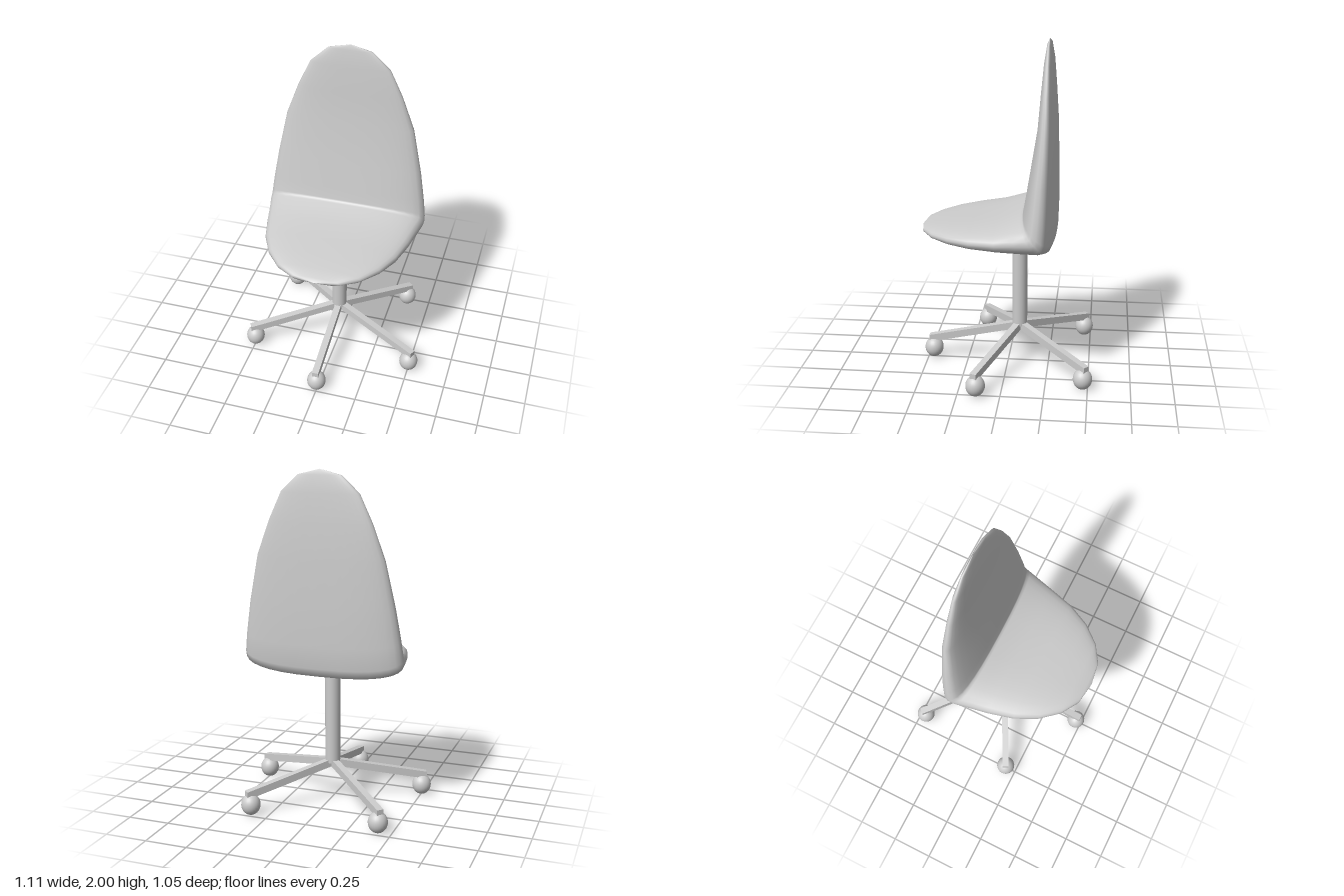
import * as THREE from 'three';

const material = new THREE.MeshStandardMaterial({ color: 0xcccccc });
const HUB = { x: -0.01, z: -0.07 };

function addMesh(parent, name, geometry) {
  const mesh = new THREE.Mesh(geometry, material);
  mesh.name = name;
  parent.add(mesh);
  return mesh;
}

// Stations from seat front to backrest top:
// [inner z, inner y, outer z, outer y, half width]
const STATIONS = [
  [0.512, 0.880, 0.512, 0.880, 0],
  [0.490, 0.900, 0.490, 0.862, 0.14],
  [0.425, 0.917, 0.425, 0.846, 0.245],
  [0.320, 0.936, 0.320, 0.833, 0.335],
  [0.190, 0.953, 0.190, 0.822, 0.400],
  [0.050, 0.972, 0.030, 0.814, 0.440],
  [-0.040, 1.000, -0.120, 0.810, 0.465],
  [-0.085, 1.014, -0.235, 0.810, 0.482],
  [-0.098, 1.020, -0.275, 0.822, 0.484],
  [-0.102, 1.030, -0.294, 0.870, 0.482],
  [-0.114, 1.100, -0.298, 1.000, 0.470],
  [-0.140, 1.260, -0.296, 1.220, 0.440],
  [-0.180, 1.510, -0.288, 1.510, 0.384],
  [-0.196, 1.710, -0.276, 1.710, 0.310],
  [-0.210, 1.870, -0.264, 1.870, 0.235],
  [-0.224, 1.968, -0.250, 1.968, 0.130],
  [-0.237, 2.000, -0.237, 2.000, 0],
];

// One-piece shell lofted from rounded cross-sections
function shellGeometry() {
  const around = 32;
  const soften = (v) => Math.sign(v) * Math.abs(v) ** (2 / 2.6);
  const positions = [], index = [];
  STATIONS.forEach(([iz, iy, oz, oy, w], row) => {
    for (let j = 0; j < around; j++) {
      const t = (j / around) * Math.PI * 2;
      const k = (1 + soften(Math.sin(t))) / 2;
      positions.push(0.005 + w * soften(Math.cos(t)), oy + (iy - oy) * k, oz + (iz - oz) * k);
      if (row === STATIONS.length - 1) continue;
      const a = row * around + j, c = row * around + ((j + 1) % around);
      const b = a + around, d = c + around;
      if (row < STATIONS.length - 2) index.push(a, b, d);
      else index.push(a, b, c);
      if (row > 0 && row < STATIONS.length - 2) index.push(a, d, c);
    }
  });
  const g = new THREE.BufferGeometry();
  g.setAttribute('position', new THREE.Float32BufferAttribute(positions, 3));
  g.setIndex(index);
  g.computeVertexNormals();
  return g;
}

// Straight bar with vertical ends, dropping from the hub to its caster
function armGeometry(length) {
  const g = new THREE.BoxGeometry(length, 0.045, 0.04);
  g.translate(length / 2, 0, 0);
  const p = g.attributes.position;
  for (let i = 0; i < p.count; i++) {
    p.setY(i, p.getY(i) + 0.242 - 0.115 * (p.getX(i) / length));
  }
  g.computeVertexNormals();
  return g;
}

export function createModel() {
  const chair = new THREE.Group();
  chair.name = 'swivelChair';

  addMesh(chair, 'seatShell', shellGeometry());

  // Central column
  const column = addMesh(chair, 'column', new THREE.CylinderGeometry(0.046, 0.046, 0.62, 24));
  column.position.set(HUB.x, 0.55, HUB.z);

  // Five-legged base with ball casters
  const base = new THREE.Group();
  base.name = 'base';
  chair.add(base);
  const casters = [[-0.005, 0.465], [0.5, 0.143], [0.355, -0.47], [-0.42, -0.46], [-0.5, 0.183]];
  for (const [x, z] of casters) {
    const dx = x - HUB.x, dz = z - HUB.z;
    const arm = addMesh(base, 'baseArm', armGeometry(Math.hypot(dx, dz) + 0.028));
    arm.position.set(HUB.x, 0, HUB.z);
    arm.rotation.y = Math.atan2(-dz, dx);
    const ball = addMesh(base, 'caster', new THREE.SphereGeometry(0.057, 24, 16));
    ball.scale.y = 1.1;
    ball.position.set(x, 0.066, z);
  }
  return chair;
}
